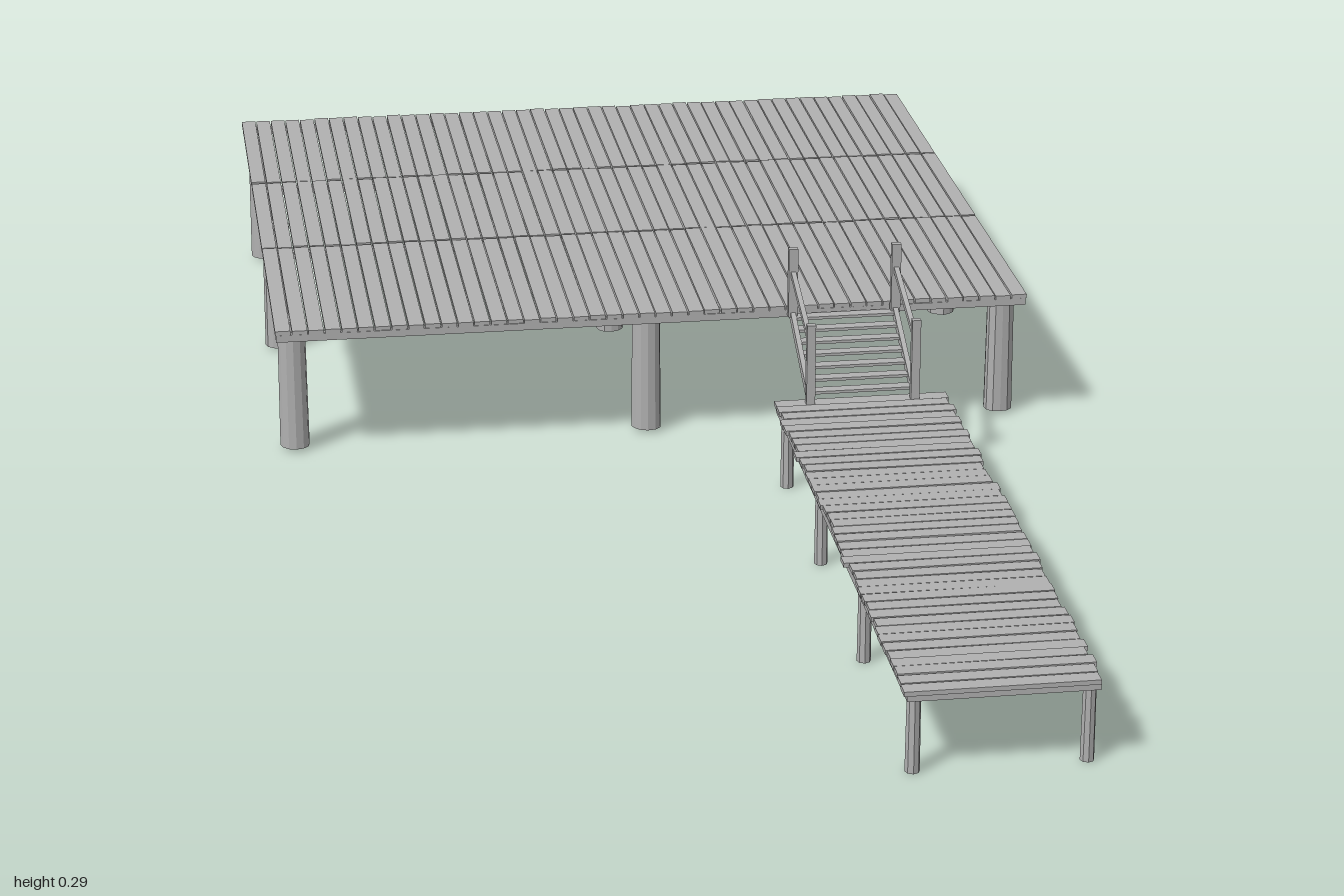
import * as THREE from 'three';

export function createModel() {
  const model = new THREE.Group();
  model.name = 'raisedDeckAndPier';
  const wood = new THREE.MeshStandardMaterial({ color: 0xb0b0b0, flatShading: true });
  wood.name = 'weathered wood';

  let seed = 7;
  const jitter = (amount) => {
    seed = (seed * 16807) % 2147483647;
    return (seed / 2147483647 - 0.5) * 2 * amount;
  };
  const group = (name) => {
    const g = new THREE.Group();
    g.name = name;
    model.add(g);
    return g;
  };
  const add = (parent, name, geometry, x, y, z) => {
    const mesh = new THREE.Mesh(geometry, wood);
    mesh.name = name;
    mesh.position.set(x, y, z);
    parent.add(mesh);
    return mesh;
  };
  const box = (parent, name, w, h, d, x, y, z) =>
    add(parent, name, new THREE.BoxGeometry(w, h, d), x, y, z);

  // Round post with slightly uneven hewn sides
  const post = (parent, name, x, z, r, bottom, top, sides) => {
    const geo = new THREE.CylinderGeometry(r * 0.93, r, top - bottom, sides);
    const p = geo.attributes.position;
    const bumps = Array.from({ length: sides }, () => 1 + jitter(0.05));
    for (let i = 0; i < p.count; i++) {
      const a = Math.atan2(p.getX(i), p.getZ(i));
      const k = bumps[(Math.round(a / (2 * Math.PI) * sides) + sides) % sides];
      p.setX(i, p.getX(i) * k);
      p.setZ(i, p.getZ(i) * k);
    }
    geo.computeVertexNormals();
    return add(parent, name, geo, x, (top + bottom) / 2, z);
  };

  // Timber running between two points in the y-z plane
  const slope = (parent, name, w, h, x, y0, z0, y1, z1) => {
    const m = box(parent, name, w, h, Math.hypot(y1 - y0, z1 - z0), x, (y0 + y1) / 2, (z0 + z1) / 2);
    m.rotation.x = -Math.atan2(y1 - y0, z1 - z0);
    return m;
  };

  // Large deck: three rows of lengthwise planks on cross beams
  const deck = group('deck');
  const rows = [[-0.998, -0.697], [-0.693, -0.403], [-0.399, -0.06]];
  const count = 46, pitch = 1.054 / count;
  for (const [z0, z1] of rows) {
    for (let i = 0; i < count; i++) {
      const plank = box(deck, 'deckPlank', pitch - 0.0018, 0.006, z1 - z0 + jitter(0.002),
        -0.527 + pitch * (i + 0.5), 0.196 + jitter(0.0007), (z0 + z1) / 2 + jitter(0.001));
      plank.rotation.y = jitter(0.002);
    }
  }
  for (const z of [-0.985, -0.69, -0.4, -0.066])
    box(deck, 'crossBeam', 1.05, 0.01, 0.012, 0, 0.188, z);

  // Deck piles in a three by three grid
  const piles = group('deckPiles');
  for (const x of [-0.5, -0.004, 0.504])
    for (const z of [-0.915, -0.52, -0.125])
      post(piles, 'pile', x, z, 0.0205, 0.005, 0.194, 12);

  // Low pier: crosswise planks on a beam frame
  const pier = group('pier');
  const pierCount = 40, step = 0.92 / pierCount;
  for (let i = 0; i < pierCount; i++) {
    const plank = box(pier, 'pierPlank', 0.238 + jitter(0.004), 0.006, step - 0.0018,
      0.262 + jitter(0.003), 0.1125 + jitter(0.0008), 0.08 + step * (i + 0.5));
    plank.rotation.y = jitter(0.004);
  }
  for (const x of [0.151, 0.373])
    box(pier, 'sideBeam', 0.01, 0.01, 0.91, x, 0.105, 0.54);
  for (const z of [0.09, 0.99])
    box(pier, 'endBeam', 0.23, 0.01, 0.01, 0.262, 0.105, z);
  for (const x of [0.158, 0.369])
    for (const z of [0.11, 0.37, 0.67, 0.975])
      post(pier, 'pierPost', x, z, 0.0092, 0, 0.108, 8);

  // Stairs joining pier and deck
  const stairs = group('stairs');
  for (const x of [0.191, 0.336]) {
    slope(stairs, 'stringer', 0.007, 0.013, x, 0.119, 0.095, 0.193, -0.055);
    slope(stairs, 'handrail', 0.007, 0.008, x, 0.203, 0.097, 0.252, -0.048);
    box(stairs, 'lowerRailPost', 0.012, 0.12, 0.01, x, 0.17, 0.097);
    box(stairs, 'upperRailPost', 0.013, 0.1, 0.01, x, 0.238, -0.049);
  }
  for (let i = 0; i < 7; i++) {
    const t = (i + 0.5) / 7;
    box(stairs, 'tread', 0.145, 0.004, 0.017, 0.2635, 0.121 + t * 0.072, 0.09 - t * 0.145);
  }

  return model;
}
